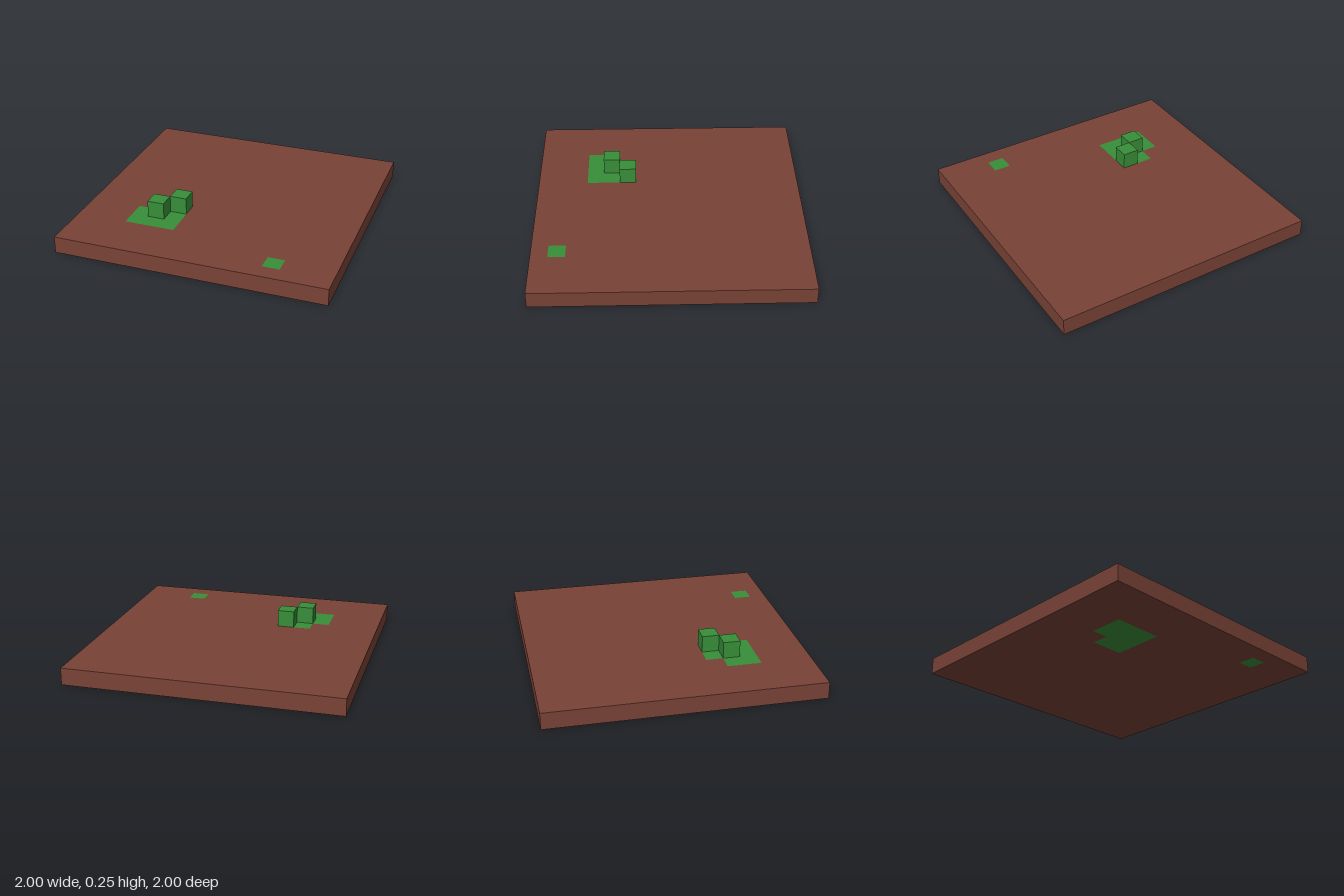
import * as THREE from 'three';

const CELL = 0.125; // one block of the 16 x 16 grid

export function createModel() {
  const model = new THREE.Group();
  model.name = 'blockField';
  const soil = new THREE.MeshStandardMaterial({ color: 0x784236 });
  soil.name = 'soil brown';
  const grass = new THREE.MeshStandardMaterial({ color: 0x388e39 });
  grass.name = 'grass green';

  const add = (name, geometry, material) => {
    const mesh = new THREE.Mesh(geometry, material);
    mesh.name = name;
    model.add(mesh);
    return mesh;
  };

  // Outlines are [x, z] corners in cells from the centre
  const outline = (corners) => corners.map(([x, z]) => new THREE.Vector2(x * CELL, z * CELL));
  const slab = (shape) =>
    new THREE.ExtrudeGeometry(shape, { depth: CELL, bevelEnabled: false })
      .rotateX(Math.PI / 2)
      .translate(0, CELL, 0);

  const patches = {
    largeGrassPatch: [[-5, 3], [-4, 3], [-4, 2], [-2, 2], [-2, 5], [-5, 5]],
    smallGrassPatch: [[4, 6], [5, 6], [5, 7], [4, 7]],
  };

  // Soil slab, cut out where the grass is set in
  const ground = new THREE.Shape(outline([[-8, -8], [8, -8], [8, 8], [-8, 8]]));
  for (const [name, corners] of Object.entries(patches)) {
    ground.holes.push(new THREE.Path(outline(corners)));
    add(name, slab(new THREE.Shape(outline(corners))), grass);
  }
  add('soilSlab', slab(ground), soil);

  // Raised grass blocks, touching at one edge
  for (const [name, x, z] of [['frontGrassBlock', -3.5, 3.5], ['backGrassBlock', -2.5, 2.5]]) {
    add(name, new THREE.BoxGeometry(CELL, CELL, CELL), grass)
      .position.set(x * CELL, 1.5 * CELL, z * CELL);
  }

  return model;
}
